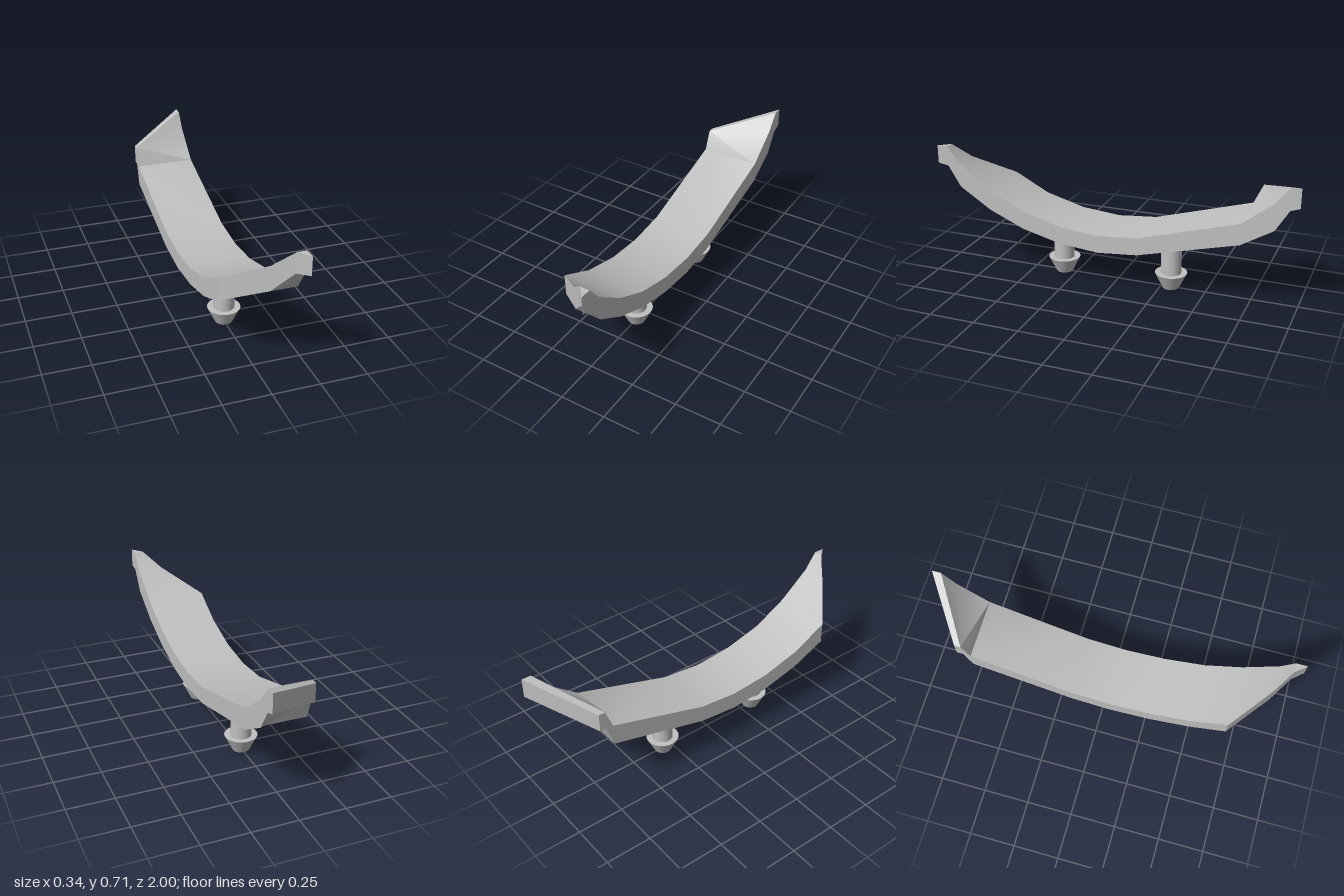
import * as THREE from 'three';
import { toCreasedNormals } from 'three/addons/utils/BufferGeometryUtils.js';

const grey = new THREE.MeshStandardMaterial({ color: 0xc0c0c0 });
grey.name = 'light grey';

// Cross-sections from front to back, each half as [x, z, top y, bottom y]
const SECTIONS = [
  { l: [0.167, 1.0, 0.71, 0.61], r: [0.167, 1.0, 0.71, 0.61] },
  { l: [0.117, 0.94, 0.71, 0.6], r: [0.167, 0.94, 0.71, 0.6] },
  { l: [0.025, 0.87, 0.62, 0.485], r: [0.165, 0.87, 0.62, 0.485] },
  { l: [-0.17, 0.695, 0.486, 0.37], r: [0.161, 0.695, 0.486, 0.37] },
  // plain arched middle, straight across
  ...[[0.5, 0.385, 0.283], [0.28, 0.325, 0.228], [0.06, 0.305, 0.208], [-0.16, 0.325, 0.228], [-0.71, 0.486, 0.37]]
    .map((p) => ({ l: [-0.17, ...p], r: [0.157, ...p] })),
  // skewed raised lip at the back
  { l: [-0.17, -0.75, 0.59, 0.49], r: [0.157, -0.88, 0.62, 0.472] },
  { l: [-0.17, -0.75, 0.59, 0.49], r: [0.157, -0.95, 0.71, 0.587] },
  { l: [-0.17, -0.785, 0.59, 0.49], r: [0.157, -1.0, 0.71, 0.605] },
];

function stripGeometry() {
  const rings = SECTIONS.map(({ l, r }) => [
    new THREE.Vector3(l[0], l[2], l[1]),
    new THREE.Vector3(r[0], r[2], r[1]),
    new THREE.Vector3(r[0], r[3], r[1]),
    new THREE.Vector3(l[0], l[3], l[1]),
  ]);
  const points = [];
  const tri = (a, b, c) => {
    if (new THREE.Triangle(a, b, c).getArea() > 1e-6) points.push(a, b, c);
  };
  for (let i = 0; i < rings.length - 1; i++) {
    for (let k = 0; k < 4; k++) {
      const n = (k + 1) % 4;
      const a = rings[i][k], b = rings[i][n], c = rings[i + 1][n], d = rings[i + 1][k];
      if (k === 2) {
        tri(a, b, c);
        tri(a, c, d);
      } else {
        tri(a, b, d);
        tri(b, c, d);
      }
    }
  }
  // back end
  const [a, b, c, d] = rings[rings.length - 1];
  tri(a, b, c);
  tri(a, c, d);
  return toCreasedNormals(new THREE.BufferGeometry().setFromPoints(points), 0.5);
}

// Mounting peg: round shaft on a tapered barb
function makePeg(z) {
  const peg = new THREE.Group();
  peg.name = 'peg';
  const shaft = new THREE.Mesh(new THREE.CylinderGeometry(0.056, 0.056, 0.205, 40), grey);
  shaft.name = 'pegShaft';
  shaft.position.y = 0.1875;
  const barb = new THREE.Mesh(new THREE.CylinderGeometry(0.088, 0.046, 0.087, 40), grey);
  barb.name = 'pegBarb';
  barb.position.y = 0.0435;
  peg.add(shaft, barb);
  peg.position.z = z;
  return peg;
}

export function createModel() {
  const group = new THREE.Group();
  group.name = 'curvedClip';
  const strip = new THREE.Mesh(stripGeometry(), grey);
  strip.name = 'curvedStrip';
  group.add(strip, makePeg(0.325), makePeg(-0.305));
  return group;
}
